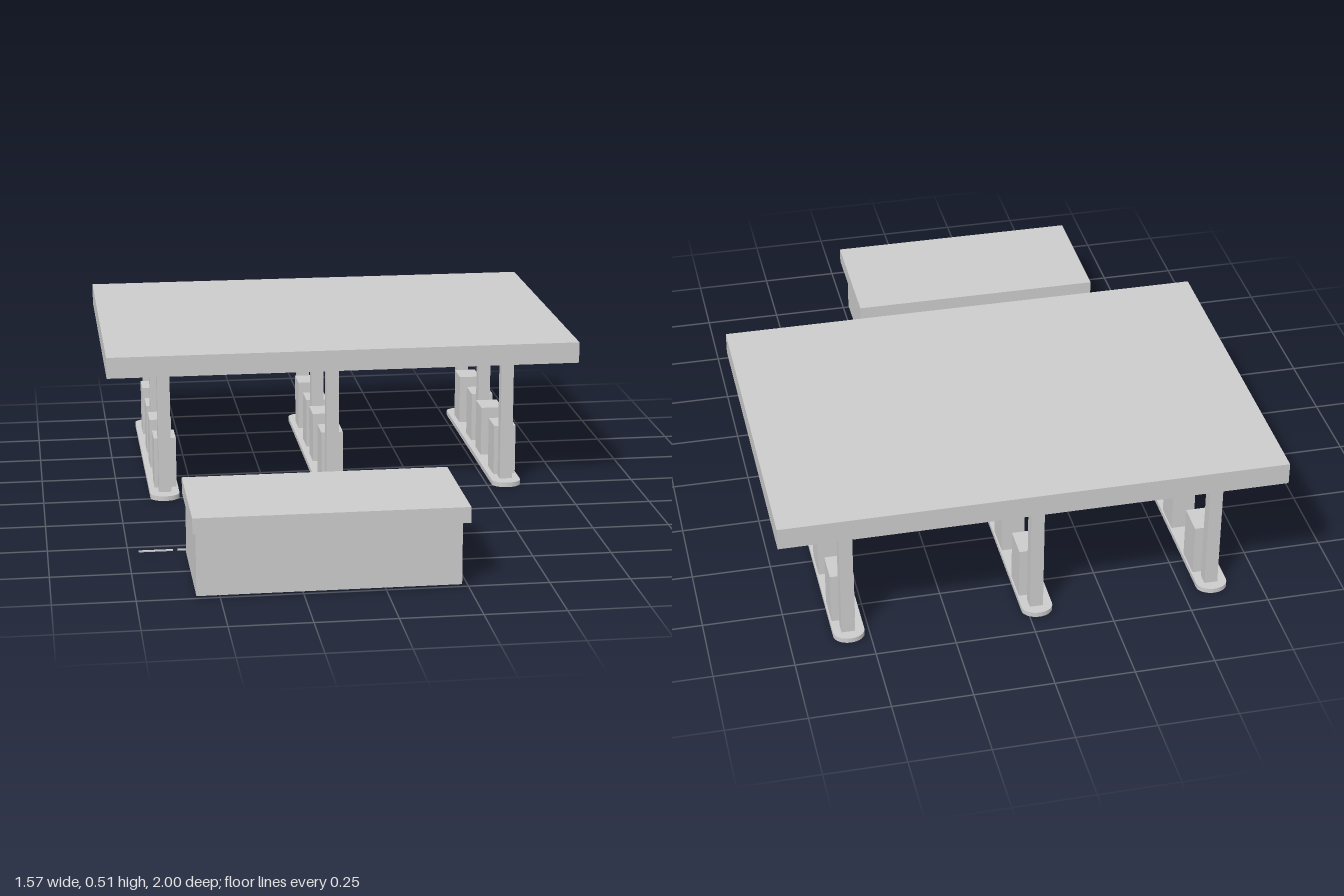
import * as THREE from 'three';

const material = new THREE.MeshStandardMaterial({ color: 0xcccccc, flatShading: true });

// Box given by its min and max corners
function box(parent, name, [x0, y0, z0], [x1, y1, z1]) {
  const mesh = new THREE.Mesh(new THREE.BoxGeometry(x1 - x0, y1 - y0, z1 - z0), material);
  mesh.position.set((x0 + x1) / 2, (y0 + y1) / 2, (z0 + z1) / 2);
  mesh.name = name;
  parent.add(mesh);
}

// Kerb slab with rounded ends, drawn in plan and extruded upwards
function islandGeometry(width, zMin, zMax, height) {
  const w = width / 2, r = 0.04;
  const shape = new THREE.Shape();
  shape.absellipse(0, -zMin - r, w, r, 0, Math.PI, false);
  shape.absellipse(0, -zMax + r, w, r, Math.PI, Math.PI * 2, false);
  shape.closePath();
  const geometry = new THREE.ExtrudeGeometry(shape, { depth: height, bevelEnabled: false, curveSegments: 8 });
  return geometry.rotateX(-Math.PI / 2);
}

export function createModel() {
  const model = new THREE.Group();
  model.name = 'fuelStation';

  // Flat canopy
  box(model, 'canopy', [-0.785, 0.445, -1], [0.785, 0.515, 0.095]);

  // Three pump islands, each with columns and pumps
  const islandShape = islandGeometry(0.098, -0.93, 0.03, 0.016);
  for (const x of [-0.596, -0.03, 0.565]) {
    const row = new THREE.Group();
    row.name = 'pumpRow';
    row.position.x = x;
    const island = new THREE.Mesh(islandShape, material);
    island.name = 'island';
    row.add(island);
    for (const z of [-0.04, -0.45, -0.875])
      box(row, 'column', [-0.019, 0.014, z - 0.02], [0.023, 0.446, z + 0.02]);
    for (const z of [-0.126, -0.36, -0.543, -0.783])
      box(row, 'pump', [-0.03, 0.014, z - 0.051], [0.044, 0.187, z + 0.051]);
    model.add(row);
  }

  // Shop with an overhanging roof slab
  const shop = new THREE.Group();
  shop.name = 'shop';
  box(shop, 'walls', [-0.571, 0.007, 0.597], [0.231, 0.2, 0.999]);
  box(shop, 'roof', [-0.58, 0.2, 0.582], [0.256, 0.25, 1]);
  model.add(shop);

  // Row of thin ground strips behind the shop
  for (let i = 0; i < 8; i++) {
    const x = -0.717 + i * 0.1215;
    box(model, 'groundStrip', [x, 0.006, 0.561], [x + 0.107, 0.01, 0.569]);
  }
  return model;
}
